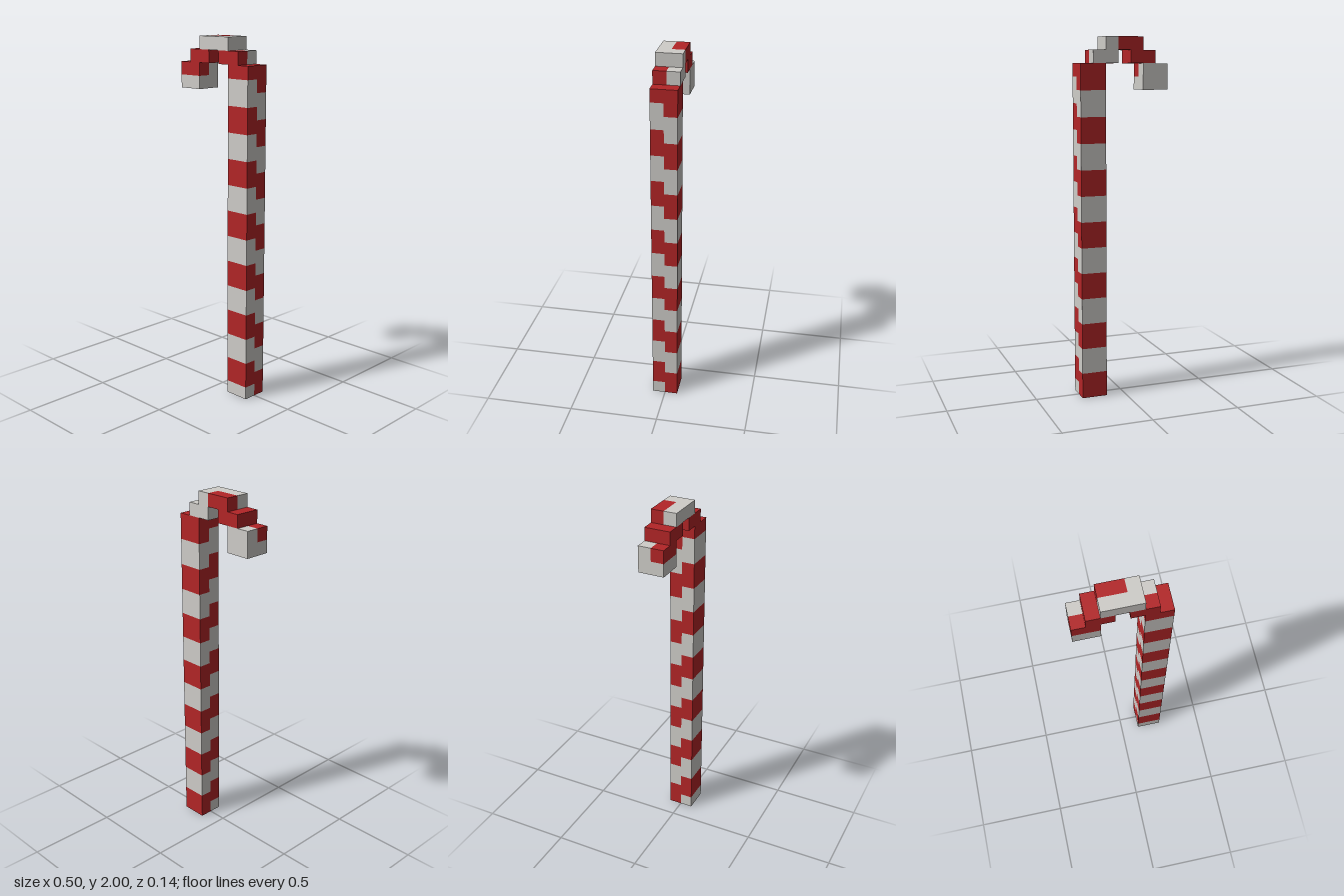
import * as THREE from 'three';
import { mergeGeometries } from 'three/addons/utils/BufferGeometryUtils.js';

const U = 2 / 28; // edge of one block; the cane is 7 x 28 x 2 blocks

const red = new THREE.MeshStandardMaterial({ color: 0xb32527 });
red.name = 'candy red';
const white = new THREE.MeshStandardMaterial({ color: 0xcfcdc9 });
white.name = 'sugar white';

// Parts as block ranges: columns x0..x1, rows y0..y1, and a rule for red blocks (z 0 = back, 1 = front)
const parts = [
  { name: 'shaft', x: [5, 6], y: [0, 25], isRed: (x, y, z) => (y + 4 - z) % 4 < 2 },
  { name: 'shaftShoulder', x: [4, 5], y: [26, 26], isRed: (x, y, z) => z === 1 },
  { name: 'crown', x: [2, 4], y: [27, 27], isRed: (x, y, z) => z === 0 && x < 4 },
  { name: 'hookShoulder', x: [1, 2], y: [26, 26], isRed: () => true },
  { name: 'hookTip', x: [0, 1], y: [24, 25], isRed: (x, y, z) => z === 1 && y === 25 },
];

const inside = (x, y, z) => z >= 0 && z <= 1 && parts.some(
  (p) => x >= p.x[0] && x <= p.x[1] && y >= p.y[0] && y <= p.y[1]);

const directions = [[1, 0, 0], [-1, 0, 0], [0, 1, 0], [0, -1, 0], [0, 0, 1], [0, 0, -1]];

// One outward square on the side d of block (x, y, z)
function blockFace(x, y, z, d) {
  const face = new THREE.PlaneGeometry(U, U).translate(0, 0, U / 2);
  if (d[1]) face.rotateX(-d[1] * Math.PI / 2);
  else face.rotateY(d[0] ? d[0] * Math.PI / 2 : d[2] < 0 ? Math.PI : 0);
  return face.translate((x - 3) * U, (y + 0.5) * U, (z - 0.5) * U);
}

export function createModel() {
  const cane = new THREE.Group();
  cane.name = 'candyCane';
  for (const part of parts) {
    const group = new THREE.Group();
    group.name = part.name;
    const faces = { red: [], white: [] };
    // Keep only the exposed sides of each block
    for (let x = part.x[0]; x <= part.x[1]; x++)
      for (let y = part.y[0]; y <= part.y[1]; y++)
        for (let z = 0; z <= 1; z++)
          for (const d of directions)
            if (!inside(x + d[0], y + d[1], z + d[2]))
              faces[part.isRed(x, y, z) ? 'red' : 'white'].push(blockFace(x, y, z, d));
    for (const [key, material] of [['red', red], ['white', white]]) {
      if (!faces[key].length) continue;
      const mesh = new THREE.Mesh(mergeGeometries(faces[key]), material);
      mesh.name = `${part.name} ${key} stripes`;
      group.add(mesh);
    }
    cane.add(group);
  }
  return cane;
}
